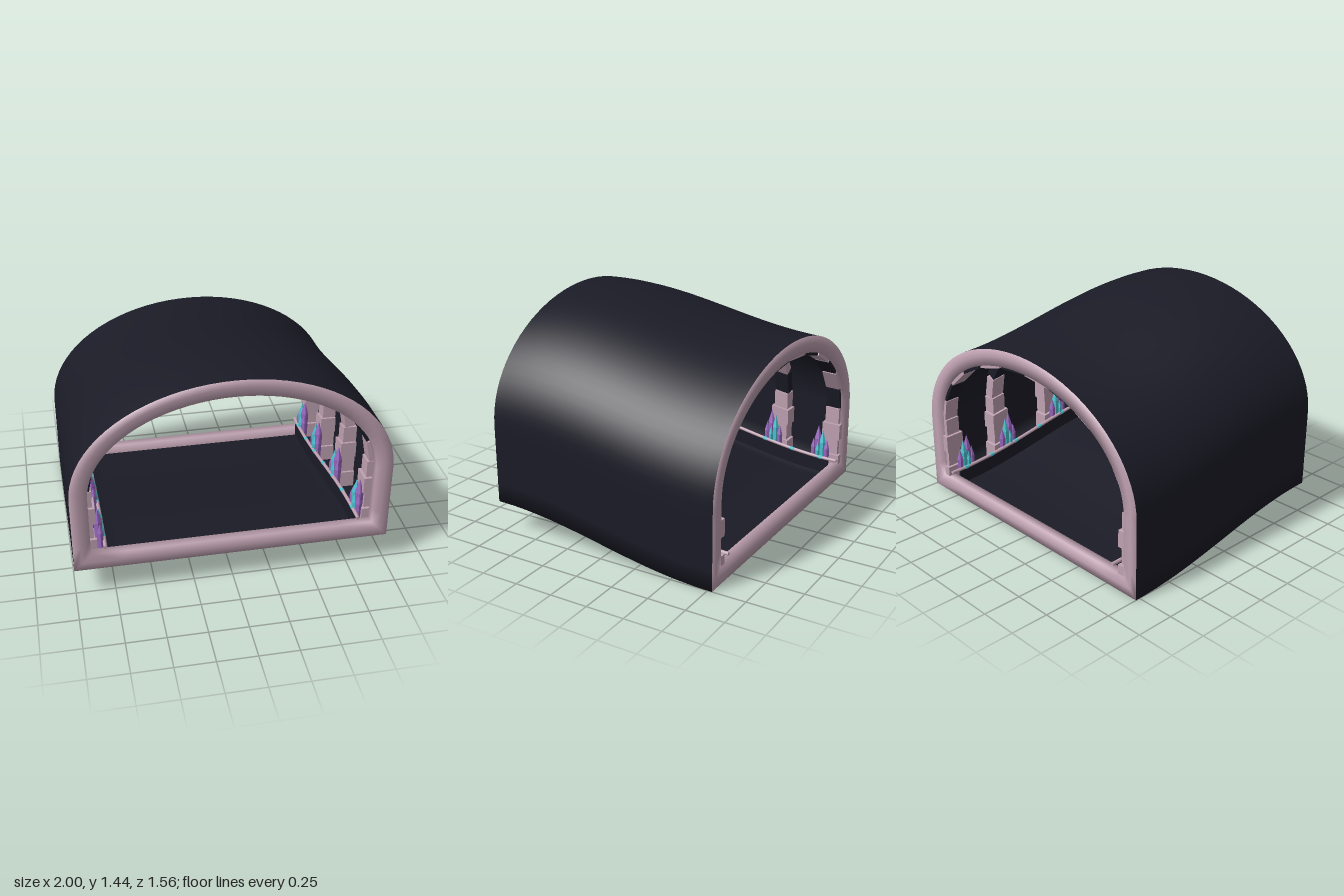
import * as THREE from 'three';

const HALF = 0.78, SPRING = 0.52, RISE = 0.72;
const mat = (name, color) => {
  const m = new THREE.MeshStandardMaterial({ color });
  m.name = name;
  return m;
};

// tunnel outline, inset evenly: floor, straight walls, elliptical arch (anticlockwise)
function outline(inset) {
  const a = 1 - inset, b = RISE - inset, pts = [];
  for (let i = 0; i < 8; i++) pts.push([-a + (2 * a * i) / 8, inset]);
  for (let i = 0; i < 4; i++) pts.push([a, inset + ((SPRING - inset) * i) / 4]);
  for (let i = 0; i <= 40; i++) {
    const t = (Math.PI * i) / 40;
    pts.push([a * Math.cos(t), SPRING + b * Math.sin(t)]);
  }
  for (let i = 1; i < 4; i++) pts.push([-a, SPRING - ((SPRING - inset) * i) / 4]);
  return pts;
}

// skin through a row of [inset, z] outlines
function loft(rows, flip) {
  const pos = [], idx = [], n = outline(0).length;
  for (const [inset, z] of rows) for (const [x, y] of outline(inset)) pos.push(x, y, z);
  for (let r = 0; r < rows.length - 1; r++) {
    for (let i = 0; i < n; i++) {
      const a = r * n + i, b = r * n + ((i + 1) % n), c = a + n, d = b + n;
      if (flip) idx.push(a, c, b, b, c, d);
      else idx.push(a, b, c, b, d, c);
    }
  }
  const g = new THREE.BufferGeometry();
  g.setAttribute('position', new THREE.Float32BufferAttribute(pos, 3));
  g.setIndex(idx);
  return g;
}

export function createModel() {
  const group = new THREE.Group();
  const dark = mat('dark rock', 0x1b1b27);
  const pink = mat('pink stone', 0xc0a2b2);
  const cyan = mat('cyan crystal', 0x4cc4d2);
  const purple = mat('purple crystal', 0x9a68c0);

  // every part follows the climb towards the front and the slight swell of the roof midway
  const add = (name, geo, material, smooth = true) => {
    const p = geo.attributes.position;
    for (let i = 0; i < p.count; i++) {
      const t = (Math.PI * p.getZ(i)) / (2 * HALF);
      p.setY(i, p.getY(i) * (1 + 0.016 * Math.cos(t)) + 0.1 + 0.1 * Math.sin(t));
    }
    if (!smooth) geo = geo.toNonIndexed();
    geo.computeVertexNormals();
    const m = new THREE.Mesh(geo, material);
    m.name = name;
    group.add(m);
  };

  // outer shell and inner lining
  const rows = inset => Array.from({ length: 25 }, (_, i) => [inset, -HALF + (2 * HALF * i) / 24]);
  add('outerShell', loft(rows(0)), dark);
  add('innerLining', loft(rows(0.05).slice(1, -1), true), dark);

  // softly rounded stone rims around both openings
  for (const s of [1, -1]) {
    const profile = [[0.002, 0.05], [0, 0], [0.05, 0], [0.11, 0.004], [0.11, 0.06], [0.05, 0.07]];
    add(s > 0 ? 'frontRim' : 'backRim', loft(profile.map(([i, d]) => [i, s * (HALF - d)]), s < 0), pink);
  }

  // four ribs: arch blocks above, stacked pillar blocks on the walls
  const onArch = (inset, t) => new THREE.Vector2((1 - inset) * Math.sin(t), SPRING + (RISE - inset) * Math.cos(t));
  for (const z of [0.65, 0.16, -0.31, -0.71]) {
    for (let i = 0; i < 12; i++) {
      const t0 = -Math.PI / 2 + (Math.PI * i) / 12;
      const p = onArch(0.092, t0), q = onArch(0.092, t0 + Math.PI / 12);
      const g = new THREE.BoxGeometry(p.distanceTo(q) * 0.89, 0.07, 0.1);
      g.rotateZ(Math.atan2(q.y - p.y, q.x - p.x));
      g.translate((p.x + q.x) / 2, (p.y + q.y) / 2, z);
      add('archBlock', g, i % 2 ? pink : dark, false);
    }
    for (const s of [-1, 1]) {
      for (let k = 0; k < 4; k++) {
        const g = new THREE.BoxGeometry(k % 2 ? 0.09 : 0.105, 0.113, k % 2 ? 0.1 : 0.13);
        g.translate(s * (k % 2 ? 0.905 : 0.8975), 0.117 + k * 0.116, z);
        add('pillarBlock', g, pink, false);
      }
    }
  }

  // crystal clusters: [z offset, height, radius, distance from centre, material]
  const cluster = [
    [0.025, 0.325, 0.028, 0.832, purple], [-0.012, 0.3, 0.025, 0.822, cyan], [0.055, 0.23, 0.02, 0.822, purple],
    [-0.045, 0.24, 0.022, 0.818, purple], [0.018, 0.21, 0.016, 0.808, cyan],
  ];
  for (const z of [0.65, 0.19, -0.28, -0.65]) {
    for (const s of [-1, 1]) {
      for (const [dz, h, r, x, m] of cluster) {
        const g = new THREE.LatheGeometry(
          [[0, 0], [r * 0.85, 0], [r, h * 0.7], [0, h]].map(([a, b]) => new THREE.Vector2(a, b)), 6);
        g.translate(s * x, 0.055, z + dz);
        add('crystal', g, m, false);
      }
    }
  }

  // low dark kerbs along both walls, capped by a rail with small glowing beads
  for (const s of [-1, 1]) {
    const kerb = new THREE.BoxGeometry(0.014, 0.105, 2 * HALF - 0.12, 1, 1, 24);
    kerb.translate(s * 0.798, 0.1, 0);
    add('kerb', kerb, dark, false);
    const rail = new THREE.CylinderGeometry(0.012, 0.012, 2 * HALF, 8, 24);
    rail.rotateX(Math.PI / 2);
    rail.translate(s * 0.8, 0.155, 0);
    add('rail', rail, pink);
    for (let i = 0; i < 7; i++) {
      const bead = new THREE.CylinderGeometry(0.0135, 0.0135, 0.03, 8);
      bead.rotateX(Math.PI / 2);
      bead.translate(s * 0.8, 0.155, -0.66 + i * 0.22);
      add('railBead', bead, cyan, false);
    }
  }
  return group;
}
